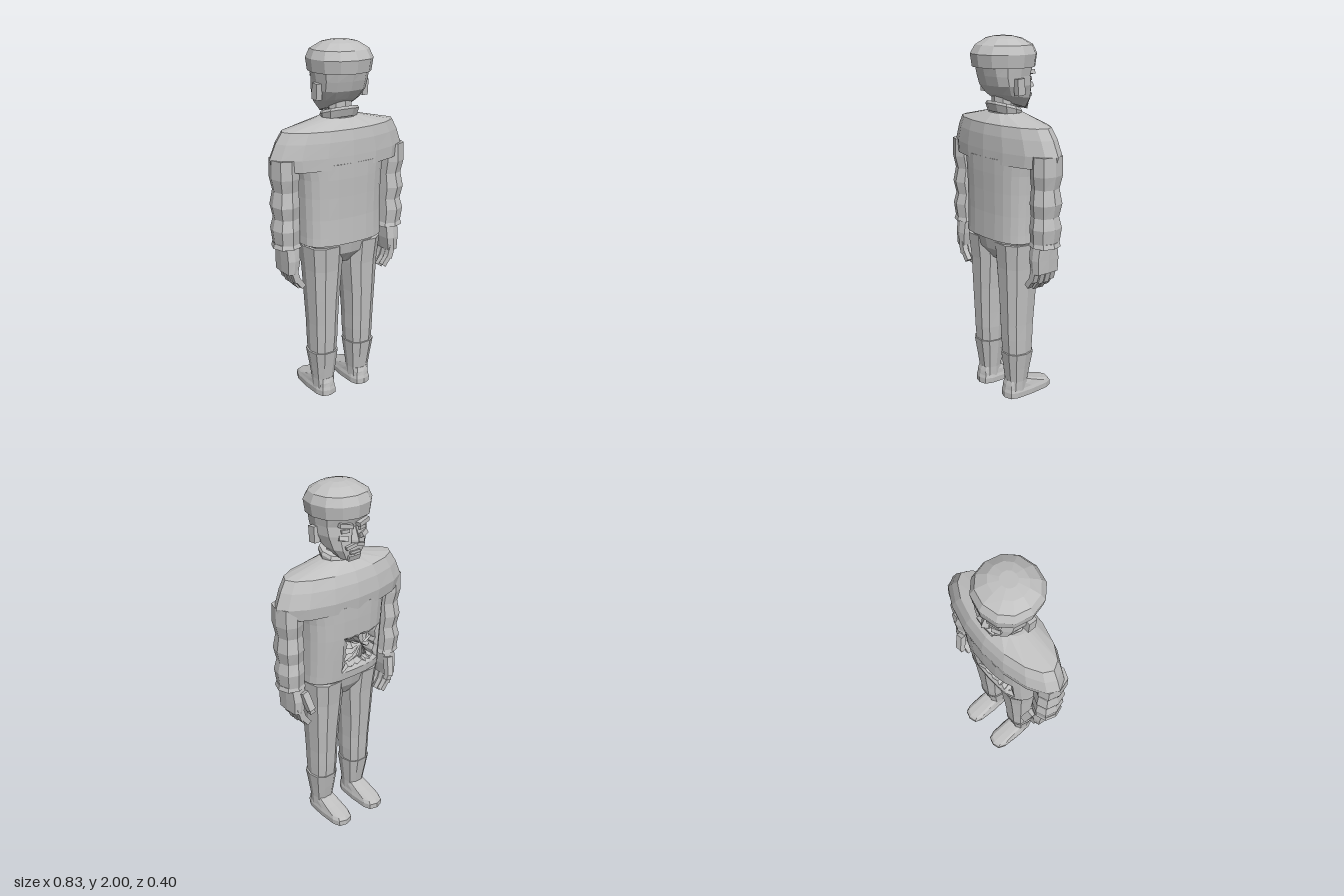
import * as THREE from 'three';

const grey = new THREE.MeshStandardMaterial({ color: 0xc0c0c0, flatShading: true });
grey.name = 'plain grey';
const greyOpen = new THREE.MeshStandardMaterial({ color: 0xc0c0c0, flatShading: true, side: THREE.DoubleSide });
greyOpen.name = 'plain grey';

// Horizontal cross-section: centre x, half width, z at the face side (zf) and the back (zb).
// p squares the corners (below 1), tilt raises y with z.
function ring(y, cx, hx, zf, zb, n = 12, p = 0.8, tilt = 0) {
  const bend = v => Math.sign(v) * Math.pow(Math.abs(v), p);
  const mid = (zf + zb) / 2, half = (zb - zf) / 2;
  return Array.from({ length: n }, (_, i) => {
    const a = (i / n) * Math.PI * 2;
    const z = mid - half * bend(Math.sin(a));
    return new THREE.Vector3(cx + hx * bend(Math.cos(a)), y + tilt * (z - mid), z);
  });
}

function meshFrom(name, tris, material = grey) {
  const g = new THREE.BufferGeometry().setFromPoints(tris);
  g.computeVertexNormals();
  const m = new THREE.Mesh(g, material);
  m.name = name;
  return m;
}

// Skin rings from bottom to top; skip(j, i) leaves a cell open.
function loft(name, rings, skip = () => false) {
  const tris = [], n = rings[0].length;
  const centre = r => r.reduce((s, v) => s.add(v), new THREE.Vector3()).divideScalar(n);
  for (let j = 0; j < rings.length - 1; j++) {
    for (let i = 0; i < n; i++) {
      if (skip(j, i)) continue;
      const k = (i + 1) % n;
      const a = rings[j][i], b = rings[j][k], c = rings[j + 1][k], d = rings[j + 1][i];
      tris.push(a, b, c, a, c, d);
    }
  }
  const low = rings[0], high = rings[rings.length - 1], cl = centre(low), ch = centre(high);
  for (let i = 0; i < n; i++) {
    const k = (i + 1) % n;
    tris.push(cl, low[k], low[i], ch, high[i], high[k]);
  }
  return meshFrom(name, tris);
}

function box(name, size, pos, rot = [0, 0, 0]) {
  const m = new THREE.Mesh(new THREE.BoxGeometry(...size), grey);
  m.position.set(...pos);
  m.rotation.set(...rot);
  m.name = name;
  return m;
}

// Ragged cavity filling the opening bounded by the given loop
function cavity(loop) {
  const curve = new THREE.CatmullRomCurve3(loop, true, 'catmullrom', 0);
  const n = 36, edge = curve.getPoints(n).slice(0, n);
  let seed = 7;
  const rnd = () => (seed = (seed * 16807) % 2147483647) / 2147483647;
  const mid = edge.reduce((s, v) => s.add(v), new THREE.Vector3()).divideScalar(n);
  const inward = (t, base, spread) => edge.map((v, i) => {
    const q = v.clone().lerp(mid, t + (i % 2 ? 0.12 : 0) + rnd() * 0.08);
    q.z += base + (i % 2 ? spread : 0) + rnd() * 0.012;
    return q;
  });
  const rims = [edge, inward(0.08, 0.004, 0.004), inward(0.2, 0.04, 0.03), inward(0.55, 0.015, 0.045)];
  const tip = mid.clone().add(new THREE.Vector3(0, 0.02, 0.025)), tris = [];
  for (let i = 0; i < n; i++) {
    const k = (i + 1) % n;
    for (let j = 0; j < 3; j++) {
      const a = rims[j][i], b = rims[j][k], c = rims[j + 1][k], d = rims[j + 1][i];
      tris.push(a, b, c, a, c, d);
    }
    tris.push(rims[3][i], rims[3][k], tip);
  }
  return meshFrom('bellyWound', tris, greyOpen);
}

function buildTorso(g) {
  // Jersey body with an opening in the belly
  const body = [
    [0.935, 0.245, -0.115, 0.163], [0.98, 0.243, -0.12, 0.162], [1.08, 0.243, -0.13, 0.16],
    [1.2, 0.245, -0.14, 0.162], [1.3, 0.25, -0.144, 0.165], [1.38, 0.262, -0.145, 0.165],
  ].map(([y, w, f, b]) => ring(y, 0, w, f, b, 24, 0.75));
  g.add(loft('torso', body, (j, i) => (j === 1 || j === 2) && i >= 5 && i <= 8));
  const loop = [];
  for (let i = 5; i <= 9; i++) loop.push(body[1][i]);
  loop.push(body[2][9]);
  for (let i = 9; i >= 5; i--) loop.push(body[3][i]);
  loop.push(body[2][5]);
  g.add(cavity(loop));

  // Shoulder yoke, lens shaped from above
  g.add(loft('shoulders', [
    [1.355, 0.4, -0.145, 0.165], [1.42, 0.413, -0.152, 0.165], [1.5, 0.38, -0.14, 0.162],
    [1.557, 0.345, -0.118, 0.152], [1.607, 0.12, -0.065, 0.1],
  ].map(([y, w, f, b]) => ring(y, 0, w, f, b, 16, 1.05))));

  g.add(loft('collar', [
    ring(1.59, 0, 0.1, -0.055, 0.095, 10, 0.9, 0.3),
    ring(1.63, 0, 0.108, -0.06, 0.11, 10, 0.9, 0.3),
    ring(1.645, 0, 0.1, -0.055, 0.105, 10, 0.9, 0.3),
  ]));
  g.add(loft('neck', [ring(1.58, 0, 0.07, -0.02, 0.085, 8, 1), ring(1.74, 0, 0.066, -0.03, 0.085, 8, 1)]));
  g.add(loft('hips', [
    ring(0.8, 0, 0.07, -0.045, 0.085), ring(0.87, 0, 0.2, -0.09, 0.14), ring(0.95, 0, 0.236, -0.11, 0.157),
  ]));
}

function buildArm(g, s, side) {
  g.add(loft(side + 'Sleeve', [
    [0.96, 0.068], [1.04, 0.073], [1.1, 0.066], [1.17, 0.073], [1.25, 0.066], [1.32, 0.073], [1.42, 0.072],
  ].map(([y, w]) => ring(y, s * (0.335 + (w - 0.07)), w, -0.055 - (w - 0.066) * 2, 0.09 + (w - 0.066) * 2, 8, 0.85))));
  g.add(loft(side + 'Cuff', [
    ring(0.94, s * 0.333, 0.079, -0.062, 0.1, 8, 0.85), ring(0.965, s * 0.335, 0.07, -0.055, 0.092, 8, 0.85),
  ]));
  g.add(loft(side + 'Palm', [
    ring(0.795, s * 0.33, 0.034, -0.062, 0.093, 8, 0.4), ring(0.87, s * 0.325, 0.042, -0.065, 0.097, 8, 0.4),
    ring(0.955, s * 0.325, 0.045, -0.05, 0.085, 8, 0.4),
  ]));
  // Four curled fingers and a thumb
  [0.073, 0.034, -0.005, -0.043].forEach((z, i) => {
    const lift = [0.012, 0, 0, 0.01][i];
    g.add(box(side + 'FingerBase', [0.036, 0.085, 0.033], [s * 0.317, 0.775 + lift, z], [0, 0, -s * 0.3]));
    g.add(box(side + 'FingerTip', [0.03, 0.065, 0.03], [s * 0.287, 0.723 + lift, z], [0, 0, -s * 0.65]));
  });
  g.add(box(side + 'Thumb', [0.04, 0.11, 0.036], [s * 0.293, 0.87, -0.075], [0.3, 0, -s * 0.2]));
  g.add(box(side + 'ThumbTip', [0.032, 0.05, 0.03], [s * 0.28, 0.82, -0.086], [0, 0, -s * 0.2]));
}

function buildLeg(g, s, side) {
  g.add(loft(side + 'Leg', [
    [0.26, 0.122, 0.075, -0.05, 0.11], [0.36, 0.12, 0.08, -0.058, 0.118], [0.45, 0.12, 0.082, -0.062, 0.122],
    [0.6, 0.12, 0.09, -0.073, 0.128], [0.78, 0.116, 0.104, -0.086, 0.136], [0.92, 0.12, 0.113, -0.103, 0.15],
  ].map(([y, x, w, f, b]) => ring(y, s * x, w, f, b, 10, 0.8))));
  g.add(loft(side + 'BootShaft', [
    [0.04, 0.12, 0.06, -0.03, 0.1], [0.1, 0.12, 0.062, -0.025, 0.095],
    [0.18, 0.121, 0.072, -0.04, 0.106], [0.275, 0.123, 0.085, -0.056, 0.12],
  ].map(([y, x, w, f, b]) => ring(y, s * x, w, f, b, 10, 0.8))));
  g.add(loft(side + 'Foot', [
    [0, 0.064, -0.2, 0.115], [0.032, 0.066, -0.2, 0.115], [0.05, 0.06, -0.185, 0.11],
    [0.075, 0.056, -0.1, 0.105], [0.1, 0.05, -0.02, 0.095],
  ].map(([y, w, f, b]) => ring(y, s * 0.119, w, f, b, 12, 0.6))));
}

function buildHead(g) {
  g.add(loft('head', [
    ring(1.64, 0, 0.068, -0.105, 0.05, 12, 0.75, 0.3), ring(1.69, 0, 0.115, -0.113, 0.1, 12, 0.75, 0.15),
    ring(1.75, 0, 0.138, -0.108, 0.135, 12, 0.75), ring(1.8, 0, 0.142, -0.1, 0.15, 12, 0.75),
    ring(1.86, 0, 0.15, -0.12, 0.165, 12, 0.8),
  ]));
  g.add(loft('hat', [
    [1.843, 0.162, -0.14, 0.188], [1.91, 0.172, -0.148, 0.197], [1.955, 0.152, -0.125, 0.17],
    [1.988, 0.1, -0.065, 0.115], [2, 0.045, -0.015, 0.07],
  ].map(([y, w, f, b]) => ring(y, 0, w, f, b, 12, 0.92))));
  // Nose, a four-sided wedge
  g.add(loft('nose', [
    ring(1.715, 0, 0.028, -0.142, -0.09, 4, 1), ring(1.73, 0, 0.026, -0.143, -0.09, 4, 1),
    ring(1.795, 0, 0.012, -0.115, -0.09, 4, 1),
  ]));
  for (const s of [1, -1]) {
    const side = s > 0 ? 'left' : 'right';
    g.add(box(side + 'Ear', [0.035, 0.085, 0.046], [s * 0.143, 1.748, 0.035], [0.08, 0, 0]));
    g.add(box(side + 'Brow', [0.075, 0.022, 0.03], [s * 0.055, 1.808, -0.105], [0, s * -0.2, s * 0.2]));
    g.add(box(side + 'Eye', [0.045, 0.018, 0.012], [s * 0.055, 1.778, -0.102], [0, s * -0.2, 0]));
    g.add(box(side + 'Cheek', [0.05, 0.025, 0.025], [s * 0.065, 1.742, -0.1], [0.4, s * -0.3, s * 0.3]));
    g.add(box(side + 'Moustache', [0.06, 0.018, 0.02], [s * 0.028, 1.697, -0.115], [0, s * -0.15, s * -0.25]));
  }
  g.add(box('lowerLip', [0.06, 0.014, 0.018], [0, 1.662, -0.11]));
  g.add(box('chin', [0.075, 0.03, 0.025], [0, 1.632, -0.1], [-0.3, 0, 0]));
}

export function createModel() {
  const model = new THREE.Group();
  model.name = 'standingFigure';
  buildTorso(model);
  for (const [s, side] of [[1, 'left'], [-1, 'right']]) {
    buildArm(model, s, side);
    buildLeg(model, s, side);
  }
  buildHead(model);
  return model;
}
